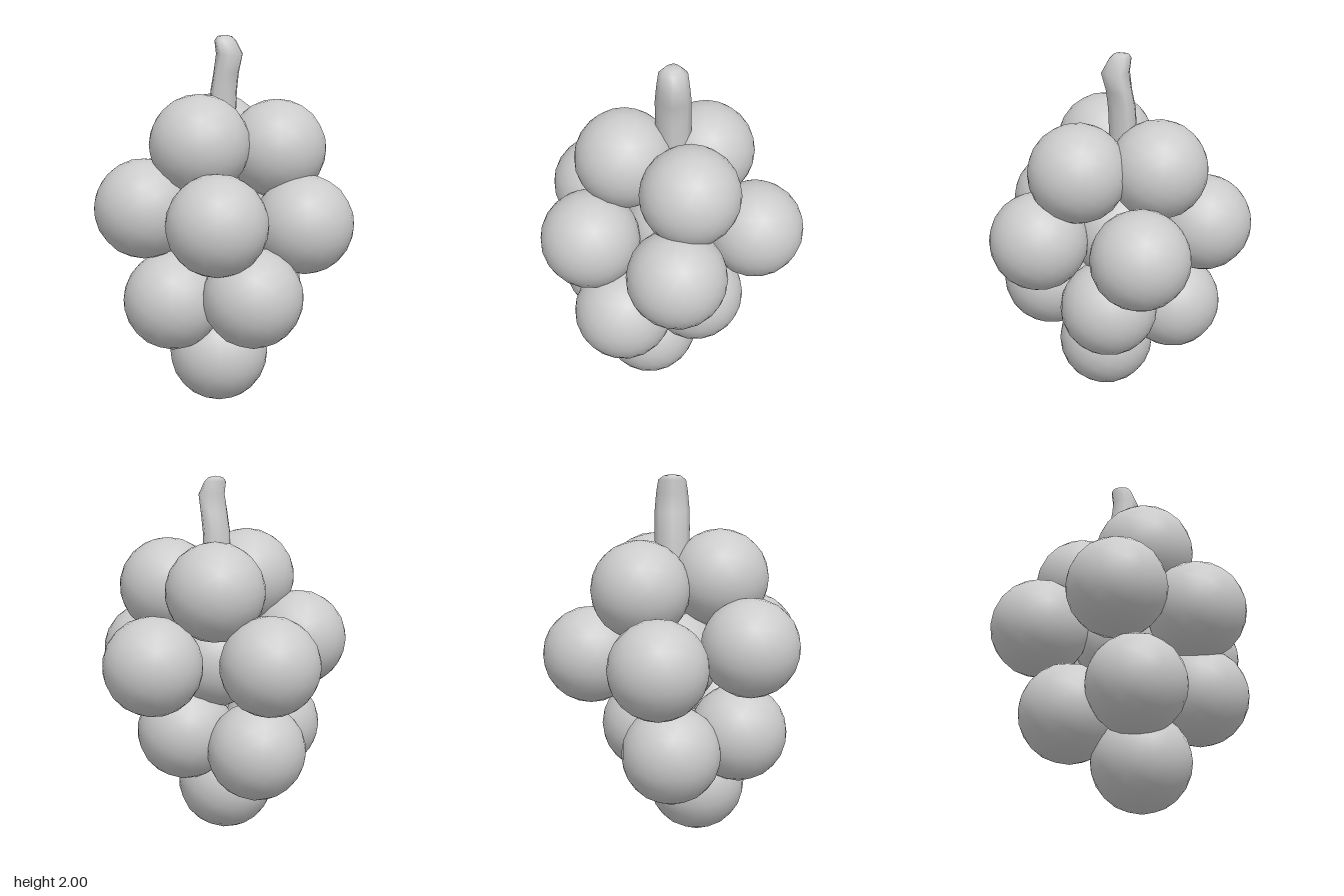
import * as THREE from 'three';
import { mergeVertices } from 'three/addons/utils/BufferGeometryUtils.js';

const GRAPE_RADIUS = 0.268;

// Grape centres, tier by tier
const TIERS = {
  topGrape: [[-0.01, 1.44, 0.26], [-0.165, 1.395, -0.172], [0.26, 1.395, -0.095]],
  middleGrape: [
    [-0.47, 1.02, -0.08], [0.465, 1.01, -0.03], [0.03, 1.01, -0.448],
    [-0.264, 1.098, 0.412], [0.206, 1.062, 0.44],
  ],
  lowerGrape: [[-0.12, 0.6, 0.36], [0.32, 0.652, 0.265], [-0.32, 0.53, -0.01], [0.1, 0.6, -0.125]],
  bottomGrape: [[0.033, 0.273, 0.138]],
  coreGrape: [[0, 1.0, 0]],
};

// Stem stations: height, sideways offset, half width, half depth
const STEM = [
  [1.2, -0.03, 0.08, 0.09],
  [1.5, -0.028, 0.08, 0.093],
  [1.7, -0.018, 0.077, 0.095],
  [1.8, -0.002, 0.072, 0.095],
  [1.9, 0.018, 0.08, 0.086],
  [1.97, -0.008, 0.063, 0.075],
  [1.992, -0.012, 0.045, 0.045],
  [2.0, -0.012, 0, 0],
];

function makeStemGeometry() {
  const sides = 12;
  const profile = STEM.map(([y], i) => new THREE.Vector2(i === STEM.length - 1 ? 0 : 1, y));
  let geometry = new THREE.LatheGeometry(profile, sides);
  const p = geometry.attributes.position;
  for (let i = 0; i < p.count; i++) {
    const [y, offset, width, depth] = STEM[i % STEM.length];
    // Softly squared section with its corners on the x and z axes
    const angle = Math.atan2(p.getX(i), p.getZ(i));
    const pinch = 1 - 0.16 * Math.sin(2 * angle) ** 2;
    p.setXYZ(i, offset + p.getX(i) * width * pinch, y, p.getZ(i) * depth * pinch);
  }
  // Weld the seam for smooth shading all round
  geometry.deleteAttribute('uv');
  geometry.deleteAttribute('normal');
  geometry = mergeVertices(geometry, 1e-5);
  geometry.computeVertexNormals();
  return geometry;
}

export function createModel() {
  const model = new THREE.Group();
  model.name = 'grapeBunch';
  const material = new THREE.MeshStandardMaterial({ color: 0xcccccc });

  // Grapes share one coarse, smooth-shaded ball
  const grapeGeometry = new THREE.IcosahedronGeometry(GRAPE_RADIUS, 3);
  for (const [name, centres] of Object.entries(TIERS)) {
    centres.forEach((centre, i) => {
      const grape = new THREE.Mesh(grapeGeometry, material);
      grape.name = centres.length > 1 ? `${name}${i + 1}` : name;
      grape.position.set(...centre);
      model.add(grape);
    });
  }

  // Bent stem rising from the middle of the bunch
  const stem = new THREE.Mesh(makeStemGeometry(), material);
  stem.name = 'stem';
  model.add(stem);

  return model;
}
